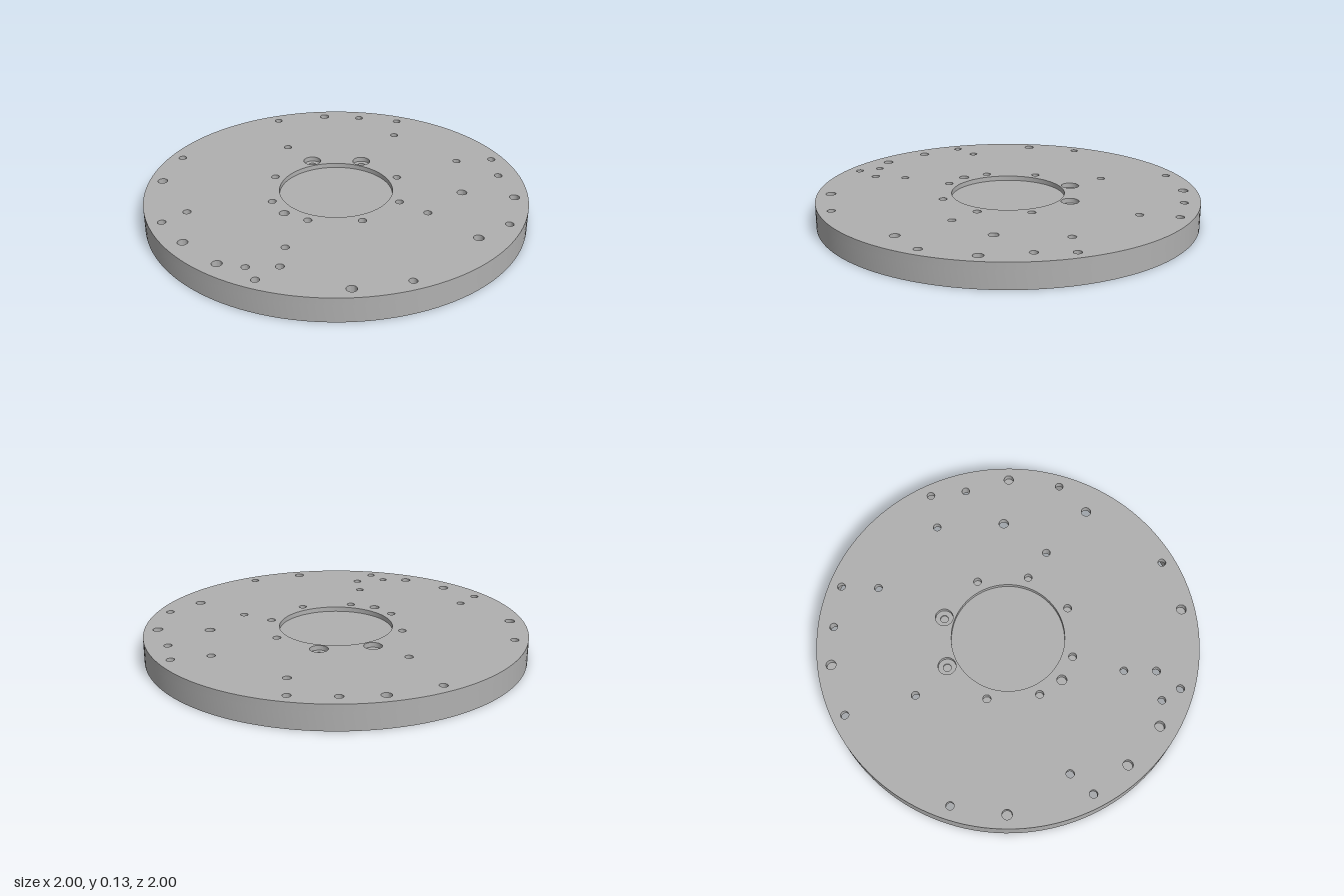
import * as THREE from 'three';
import { toCreasedNormals } from 'three/addons/utils/BufferGeometryUtils.js';

const TOP = 0.13, LEDGE = 0.105, UNDER = 0.095;

const circle = (x, z, r, n) => Array.from({ length: n }, (_, i) => {
  const a = (i / n) * Math.PI * 2;
  return new THREE.Vector2(x + r * Math.cos(a), -z + r * Math.sin(a));
});

// Round slab between two heights, pierced by holes given as [x, z, radius]
function slab(x, z, r, y0, y1, holes, n) {
  const shape = new THREE.Shape(circle(x, z, r, n));
  for (const [hx, hz, hr] of holes) {
    shape.holes.push(new THREE.Path(circle(hx, hz, hr, hr > 0.1 ? 96 : 24)));
  }
  const g = new THREE.ExtrudeGeometry(shape, { depth: y1 - y0, bevelEnabled: false });
  g.rotateX(-Math.PI / 2).translate(0, y0, 0);
  return toCreasedNormals(g, 0.6);
}

function lathe(points) {
  const g = new THREE.LatheGeometry(points.map(([r, y]) => new THREE.Vector2(r, y)), 128);
  return toCreasedNormals(g, 0.6);
}

export function createModel() {
  const group = new THREE.Group();
  const grey = new THREE.MeshStandardMaterial({ color: 0xb0b0b0 });
  grey.name = 'machined grey';
  const add = (name, geometry) => {
    const mesh = new THREE.Mesh(geometry, grey);
    mesh.name = name;
    group.add(mesh);
  };

  // Through holes, mirrored pairs first
  const through = [];
  for (const s of [-1, 1]) {
    for (const [x, z] of [[0.357, -0.861], [0.235, -0.706], [0.86, -0.358],
      [0.86, 0.356], [0.353, 0.706], [0.357, 0.858]]) through.push([s * x, z, 0.021]);
  }
  through.push([0.246, 0.577, 0.02], [0.246, 0.823, 0.02],
    [0.487, -0.444, 0.026], [0.834, -0.147, 0.026]);

  // Through holes that carry a collar underneath
  const collared = [];
  for (const x of [-0.55, 0.503]) for (const z of [-0.733, -0.155]) collared.push([x, z, 0.021]);

  // Blind holes closed by standoffs underneath
  const blind = [[-0.131, 0.898, 0.026], [0.131, 0.898, 0.026]];
  for (const x of [-0.711, 0.711]) for (const z of [-0.598, 0.598]) blind.push([x, z, 0.026]);

  // Ring of small blind holes above the hub, two of them counterbored
  const ring = [[0, 0.364, 0.026]];
  const ringTop = [[0, 0.364, 0.026]];
  for (const sx of [-1, 1]) for (const sz of [-1, 1]) {
    for (const [x, z] of [[0.134, 0.327], [0.327, 0.136]]) {
      ring.push([sx * x, sz * z, 0.021]);
      ringTop.push([sx * x, sz * z, sx < 0 && sz < 0 ? 0.047 : 0.021]);
    }
  }

  // Plate: the upper layer has the central recess and counterbores
  const shared = [...through, ...collared, ...blind];
  add('plateTop', slab(0, 0, 1, LEDGE, TOP, [[0, 0, 0.297], ...shared, ...ringTop], 128));
  add('plateBase', slab(0, 0, 1, UNDER, LEDGE, [...shared, ...ring], 128));

  // Thin skirt around the hollow underside
  add('rim', lathe([[0.97, UNDER], [0.97, 0], [1, 0], [1, UNDER]]));

  // Central hub underneath with a shallow recess
  add('hub', lathe([[0, 0.052], [0.412, 0.052], [0.412, 0.036], [0.47, 0.036],
    [0.47, UNDER], [0, UNDER]]));

  // Underside standoffs and collars
  for (const [x, z] of blind) add('standoff', slab(x, z, 0.05, 0.065, UNDER, [], 32));
  for (const h of collared) add('collar', slab(h[0], h[1], 0.045, 0.075, UNDER, [h], 32));

  return group;
}
